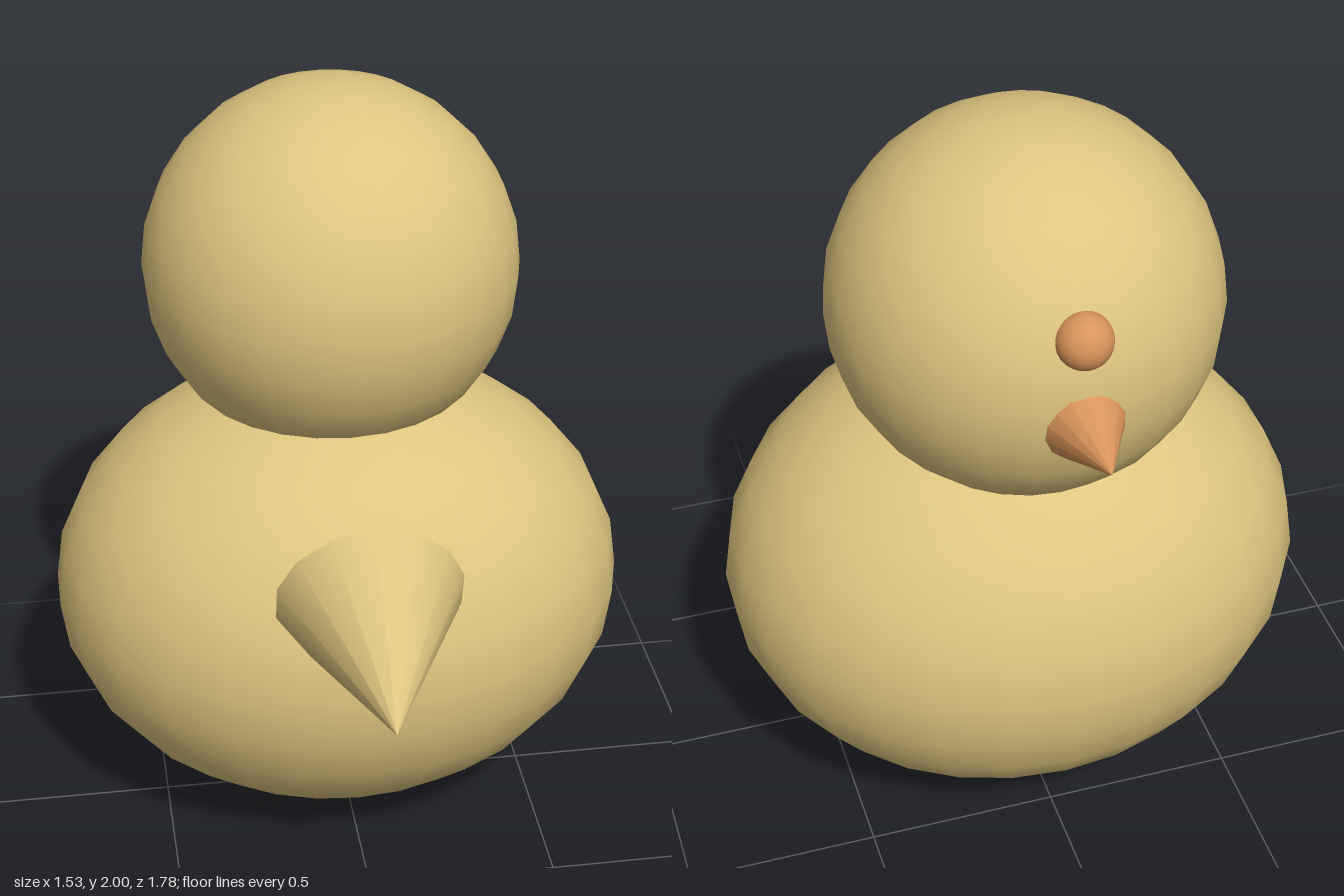
import * as THREE from 'three';

export function createModel() {
  const model = new THREE.Group();
  model.name = 'duckling';

  const yellow = new THREE.MeshStandardMaterial({ color: 0xdec57f });
  yellow.name = 'yellow';
  const orange = new THREE.MeshStandardMaterial({ color: 0xd99459 });
  orange.name = 'orange';

  const add = (name, geometry, material, x, y, z) => {
    const mesh = new THREE.Mesh(geometry, material);
    mesh.name = name;
    mesh.position.set(x, y, z);
    model.add(mesh);
    return mesh;
  };

  // Smooth ball, scaled to an ellipsoid, with a column of vertices on the z axis
  const ball = (rx, ry, rz) =>
    new THREE.SphereGeometry(1, 26, 14, Math.PI / 2).scale(rx, ry, rz);

  // Cone with its tip turned from +y by an angle about x; the origin is its base centre
  const cone = (radius, height, angle) =>
    new THREE.ConeGeometry(radius, height, 14).translate(0, height / 2, 0).rotateX(angle);

  // Body and head
  add('body', ball(0.77, 0.618, 0.655), yellow, 0, 0.62, -0.115);
  add('head', ball(0.495, 0.495, 0.495), yellow, 0, 1.505, -0.225);

  // Tail slopes down and away from the body
  add('tail', cone(0.242, 0.44, Math.PI / 2 + 0.273), yellow, 0, 0.908, 0.467);

  // Beak and the single round bump above it
  add('beak', cone(0.142, 0.27, -Math.PI / 2), orange, 0, 1.453, -0.62);
  add('eye', ball(0.07, 0.07, 0.07), orange, 0, 1.68, -0.675);

  return model;
}
